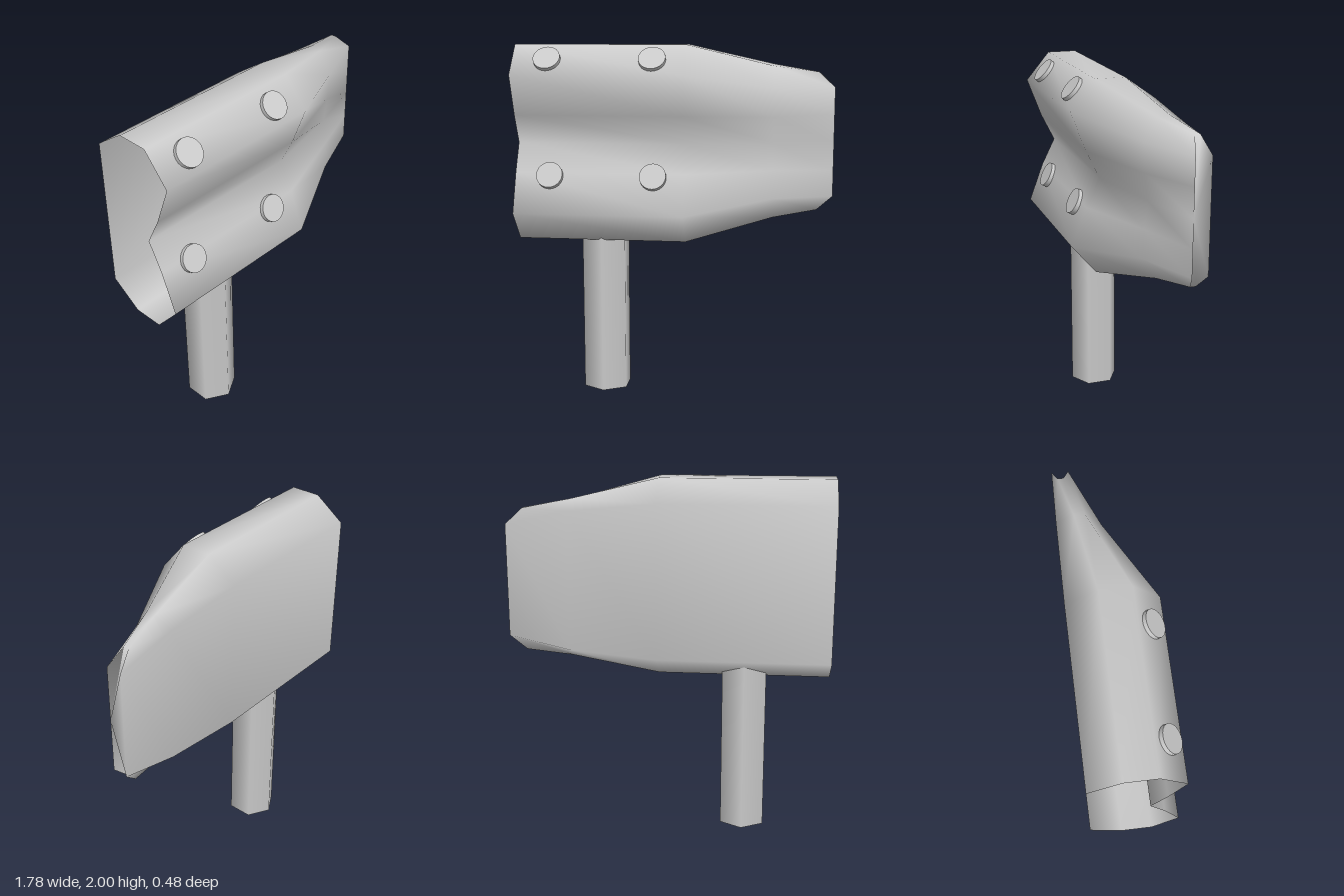
import * as THREE from 'three';

const MID = 1.45;
const grey = () => new THREE.MeshStandardMaterial({ color: 0xcccccc, side: THREE.DoubleSide });

// Upper half of each cross-section: [x, height above the middle, z], from the front groove to the back edge
const section = (x, pts) => pts.map(([dy, z]) => [x, dy, z]);
const wide = [[0, 0.075], [0.16, 0.155], [0.385, 0.24], [0.55, 0.1], [0.55, -0.07], [0.43, -0.24]];
const STATIONS = [
  section(-0.89, wide),
  section(0.07, wide),
  section(0.55, [[0, -0.03], [0.15, -0.01], [0.31, 0], [0.43, -0.08], [0.44, -0.14], [0.385, -0.235]]),
  [[0.89, 0, -0.14], [0.89, 0.16, -0.14], [0.89, 0.31, -0.14],
    [0.8, 0.395, -0.17], [0.8, 0.395, -0.2], [0.89, 0.31, -0.228]],
];

// Tapering shell, open at one end and closed at the narrow tip
function shellGeometry() {
  const rings = STATIONS.map((half) => [
    ...half,
    ...half.slice(1).reverse().map(([x, dy, z]) => [x, -dy, z]),
  ]);
  const n = rings[0].length;
  const positions = rings.flat().flatMap(([x, dy, z]) => [x, MID + dy, z]);
  const index = [];
  for (let s = 0; s < rings.length - 1; s++) {
    for (let k = 0; k < n; k++) {
      const a = s * n + k, b = s * n + (k + 1) % n;
      index.push(a, a + n, b, b, a + n, b + n);
    }
  }
  const tip = (rings.length - 1) * n;
  for (let k = 1; k < n - 1; k++) index.push(tip, tip + k + 1, tip + k);
  const geo = new THREE.BufferGeometry();
  geo.setAttribute('position', new THREE.Float32BufferAttribute(positions, 3));
  geo.setIndex(index);
  geo.computeVertexNormals();
  return geo;
}

export function createModel() {
  const model = new THREE.Group();
  const add = (name, geo) => {
    const mesh = new THREE.Mesh(geo, grey());
    mesh.name = name;
    model.add(mesh);
    return mesh;
  };

  add('shell', shellGeometry());

  // Hollow six-sided post
  const post = add('post', new THREE.CylinderGeometry(0.1425, 0.1425, 1, 6, 1, true));
  post.position.set(-0.4125, 0.5, -0.032);

  // Round studs lying on the two upward-facing slopes of the front
  const stud = new THREE.CylinderGeometry(0.075, 0.075, 0.03, 24);
  for (const x of [-0.69, -0.105]) {
    for (const [name, y, z, ny, nz] of [
      ['upperStud', 1.92, 0.178, 0.65, 0.76],
      ['lowerStud', 1.275, 0.17, 0.45, 0.89],
    ]) {
      const mesh = add(name, stud);
      mesh.position.set(x, y, z);
      mesh.rotation.x = Math.atan2(nz, ny);
    }
  }
  return model;
}
